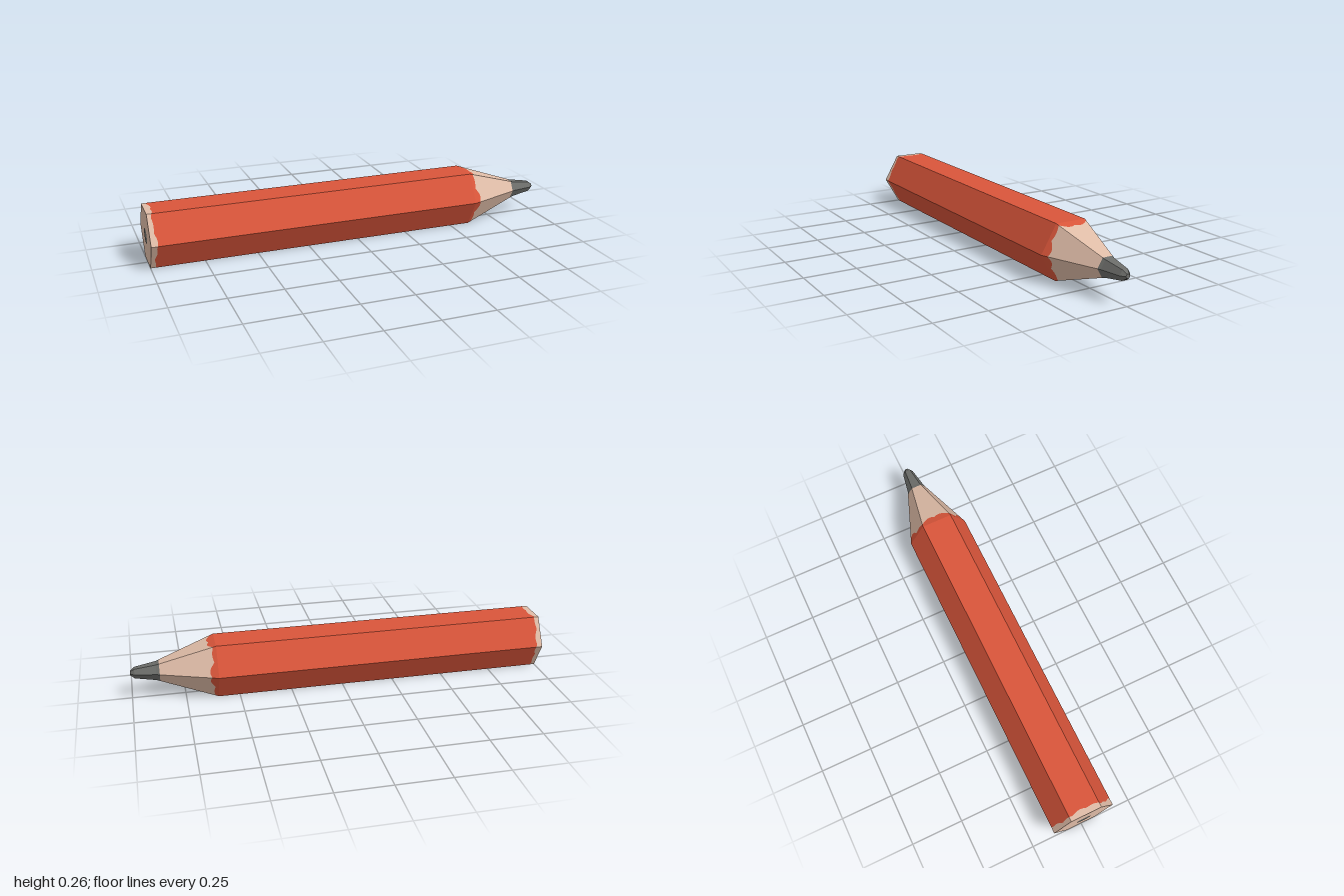
import * as THREE from 'three';

const AXIS_Y = 0.13;
// Radius (centre to corner) along the length
const PROFILE = [[-1, 0.15], [0.6, 0.15], [0.88, 0.045], [0.98, 0.027], [1, 0.011]];

function radiusAt(x) {
  for (let i = 1; i < PROFILE.length; i++) {
    const [x0, r0] = PROFILE[i - 1], [x1, r1] = PROFILE[i];
    if (x <= x1) return r0 + (r1 - r0) * (x - x0) / (x1 - x0);
  }
  return PROFILE[PROFILE.length - 1][1];
}

// Point on the six-sided surface; u runs 0..6 around, whole numbers are corners
function surfacePoint(x, u) {
  const side = Math.floor(u), t = u - side, r = radiusAt(x);
  const a = side * Math.PI / 3, b = a + Math.PI / 3;
  const mix = f => r * (f(a) * (1 - t) + f(b) * t);
  return [x, AXIS_Y + mix(Math.sin), mix(Math.cos)];
}

// Flat-sided band between two edges, each a function x(u)
function band(from, to, steps = 1) {
  const pos = [];
  for (let side = 0; side < 6; side++) {
    for (let i = 0; i < steps; i++) {
      const u0 = side + i / steps;
      const u1 = side + (i + 1) / steps - (i === steps - 1 ? 1e-6 : 0);
      const a = surfacePoint(from(u0), u0), b = surfacePoint(to(u0), u0);
      const c = surfacePoint(to(u1), u1), d = surfacePoint(from(u1), u1);
      pos.push(...a, ...b, ...c, ...a, ...c, ...d);
    }
  }
  const g = new THREE.BufferGeometry();
  g.setAttribute('position', new THREE.Float32BufferAttribute(pos, 3));
  g.computeVertexNormals();
  return g;
}

export function createModel() {
  const material = (name, color) => {
    const m = new THREE.MeshStandardMaterial({ color });
    m.name = name;
    return m;
  };
  const paint = material('redPaint', 0xd9553a);
  const wood = material('paleWood', 0xe0bda8);
  const graphite = material('graphite', 0x6c6d6a);

  const group = new THREE.Group();
  group.name = 'pencil';
  const add = (name, geometry, mat) => {
    const mesh = new THREE.Mesh(geometry, mat);
    mesh.name = name;
    group.add(mesh);
    return mesh;
  };

  // Edges between the colours: scalloped where the paint is cut away
  const at = x => () => x;
  const scallop = u => Math.abs(Math.sin(u * Math.PI * 2));
  const paintFront = u => 0.62 + 0.01 * Math.cos(u * Math.PI * 4 / 3) + 0.011 * scallop(u);
  const paintBack = u => -0.979 + 0.005 * Math.cos(u * Math.PI * 4 / 3) + 0.007 * scallop(u + 0.1);

  // Painted body
  add('backWoodEdge', band(at(-1), paintBack, 16), wood);
  add('paintedBody', band(paintBack, at(0.6), 16), paint);
  add('paintScallops', band(at(0.6), paintFront, 16), paint);

  // Sharpened end
  add('sharpenedWood', band(paintFront, at(0.865), 16), wood);
  add('leadBase', band(at(0.865), at(0.88)), graphite);
  add('lead', band(at(0.88), at(0.98)), graphite);
  add('leadBevel', band(at(0.98), at(1)), graphite);

  // End faces
  const disc = (name, radius, sides, x, turn, mat) => {
    const mesh = add(name, new THREE.CircleGeometry(radius, sides), mat);
    mesh.position.set(x, AXIS_Y, 0);
    mesh.rotation.y = turn * Math.PI / 2;
  };
  disc('leadTip', 0.011, 6, 1, 1, graphite);
  disc('backFace', 0.15, 6, -1, -1, wood);
  disc('backCore', 0.036, 20, -1.001, -1, graphite);

  return group;
}
